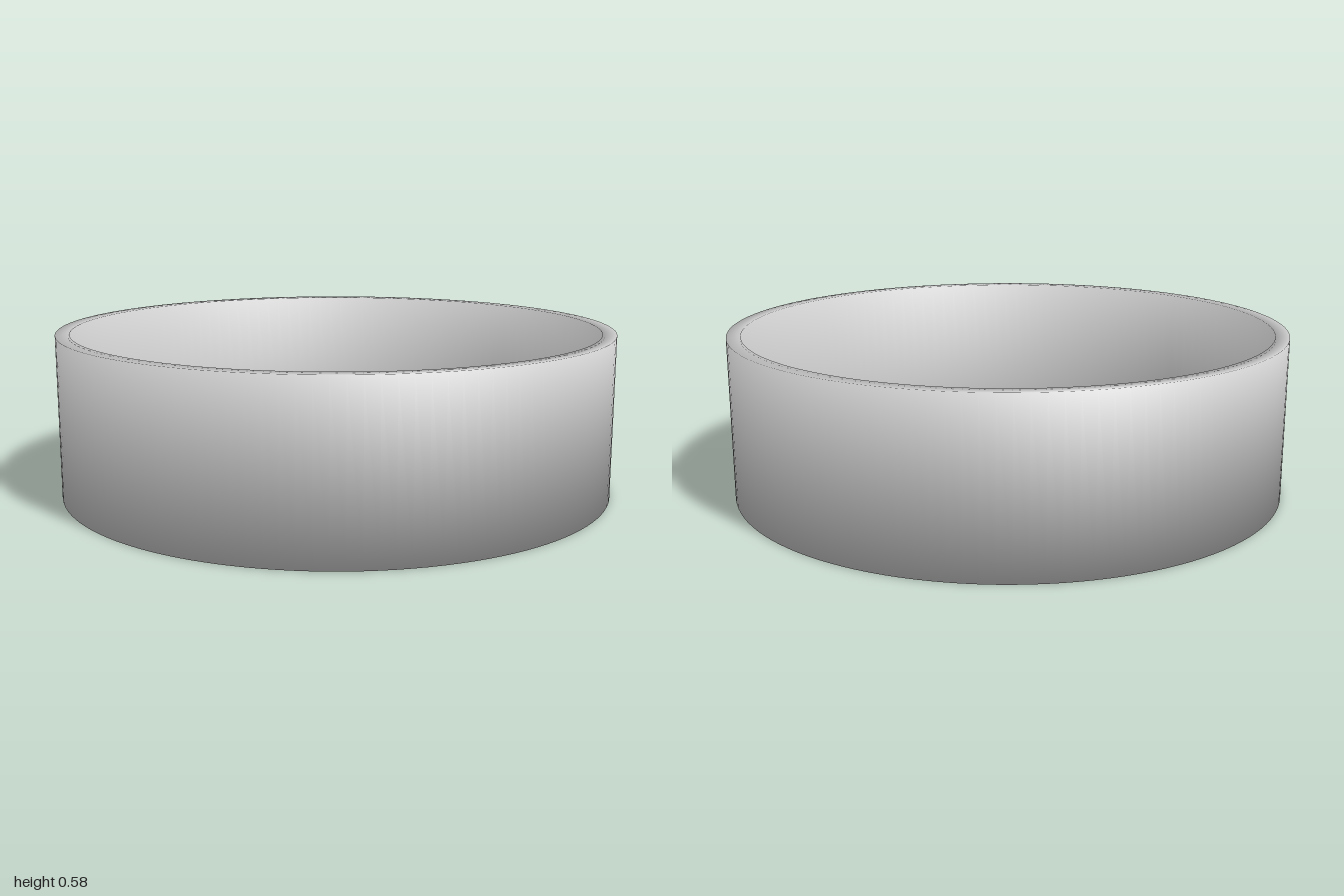
import * as THREE from 'three';

export function createModel() {
  const group = new THREE.Group();
  const height = 0.58, wall = 0.05, fillet = 0.05, steps = 6, segments = 128;
  const inner = 1 - wall, s = Math.SQRT1_2;

  // Profile rows: radius, y, normal outwards, normal up (edges are softly shaded)
  const rows = [
    [0, 0, 0, -1],
    [1, 0, s, -s],
    [1, height, s, s],
    [inner, height, -s, s],
  ];
  // Rounded corner where the inner wall meets the floor
  for (let i = 0; i <= steps; i++) {
    const a = (i / steps) * Math.PI / 2;
    rows.push([
      inner - fillet + fillet * Math.cos(a),
      wall + fillet - fillet * Math.sin(a),
      -Math.cos(a), Math.sin(a),
    ]);
  }
  rows.push([0, wall, 0, 1]);

  const geometry = new THREE.LatheGeometry(rows.map(([r, y]) => new THREE.Vector2(r, y)), segments);

  // Apply the profile's normals around every turn of the lathe
  const normal = geometry.attributes.normal;
  for (let i = 0; i < normal.count; i++) {
    const [, , out, up] = rows[i % rows.length];
    const angle = Math.floor(i / rows.length) / segments * Math.PI * 2;
    normal.setXYZ(i, out * Math.sin(angle), up, out * Math.cos(angle));
  }

  const dish = new THREE.Mesh(geometry, new THREE.MeshStandardMaterial({ color: 0xcccccc }));
  dish.name = 'dish';
  group.add(dish);
  return group;
}
